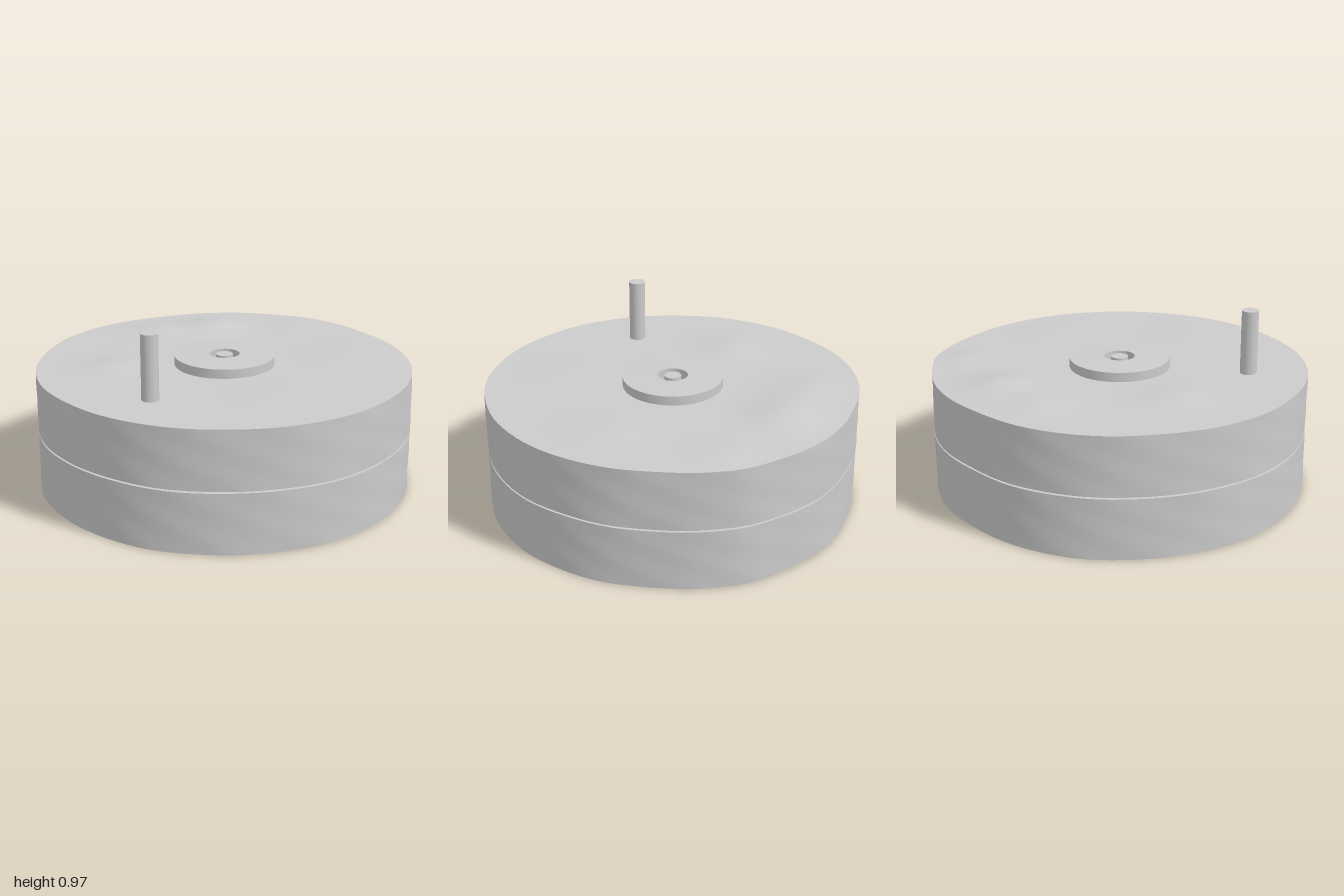
import * as THREE from 'three';
import { toCreasedNormals } from 'three/addons/utils/BufferGeometryUtils.js';

const material = new THREE.MeshStandardMaterial({ color: 0xcccccc });
const V = (x, y) => new THREE.Vector2(x, y);

// Slightly uneven rim: a knob at the back, flatter shoulders either side of it
function rim(x, z) {
  const a = Math.atan2(x, -z); // 0 at the back, positive towards +x
  const dent = (c, w) => Math.exp(-(((a - c) / w) ** 2));
  return 0.988 + 0.014 * dent(-0.06, 0.13) - 0.02 * dent(-0.85, 0.28)
    - 0.012 * dent(0.4, 0.2) - 0.008 * dent(0.95, 0.3) + 0.003 * Math.sin(7 * a);
}

// Worn, hand-dressed swellings on the upper face: x, z, height, width
const swellings = [
  [-0.43, -0.55, 0.036, 0.17], [-0.65, -0.3, 0.022, 0.17], [0.5, -0.45, 0.014, 0.2],
  [0, -0.83, 0.014, 0.14], [-0.45, 0.36, 0.022, 0.17], [0.5, 0.3, 0.012, 0.2],
];
function relief(x, z) {
  let h = 0;
  for (const [cx, cz, height, w] of swellings) {
    h += height * Math.exp(-((x - cx) ** 2 + (z - cz) ** 2) / (w * w));
  }
  return h * Math.min(1, Math.max(0, (1 - Math.hypot(x, z)) * 8));
}

// Thick round stone, displaced at the rim and, if worn, on its upper face
function stone(name, y0, y1, worn) {
  const profile = [V(0, y0), V(0.5, y0), V(1, y0)];
  for (let i = 1; i <= 6; i++) profile.push(V(1, y0 + (y1 - y0) * i / 6));
  for (let i = 1; i <= 20; i++) profile.push(V(1 - i / 20, y1));
  const geometry = new THREE.LatheGeometry(profile, 96);
  const p = geometry.attributes.position;
  for (let i = 0; i < p.count; i++) {
    const x = p.getX(i), y = p.getY(i), z = p.getZ(i);
    const a = Math.atan2(x, z);
    const chisel = 0.0025 * Math.sin(11 * a + y * 14) * Math.sin(y * 23 + 3 * a);
    const k = rim(x, z) + (Math.hypot(x, z) > 0.99 ? chisel : 0);
    const lift = worn && y > y1 - 0.001 ? relief(x, z) : 0;
    p.setXYZ(i, x * k, y + lift, z * k);
  }
  return named(name, toCreasedNormals(geometry, 0.6));
}

function named(name, geometry) {
  const mesh = new THREE.Mesh(geometry, material);
  mesh.name = name;
  return mesh;
}

// Upright round peg
function peg(name, radius, y0, y1, z) {
  const mesh = named(name, new THREE.CylinderGeometry(radius, radius, y1 - y0, 32));
  mesh.position.set(0, (y0 + y1) / 2, z);
  return mesh;
}

export function createModel() {
  const model = new THREE.Group();
  model.name = 'handMill';

  model.add(stone('lowerStone', 0.003, 0.319, false));
  model.add(stone('upperStone', 0.328, 0.638, true));

  // Collar around the feed hole
  const collar = new THREE.LatheGeometry(
    [V(0.08, 0.62), V(0.265, 0.62), V(0.265, 0.688), V(0.08, 0.692), V(0.08, 0.62)], 48);
  model.add(named('collar', toCreasedNormals(collar, 0.6)));

  // Spindle joining the two stones, and the turning handle near the front
  model.add(peg('spindle', 0.045, 0.3, 0.69, 0));
  model.add(peg('handle', 0.044, 0.6, 0.976, 0.68));
  return model;
}
